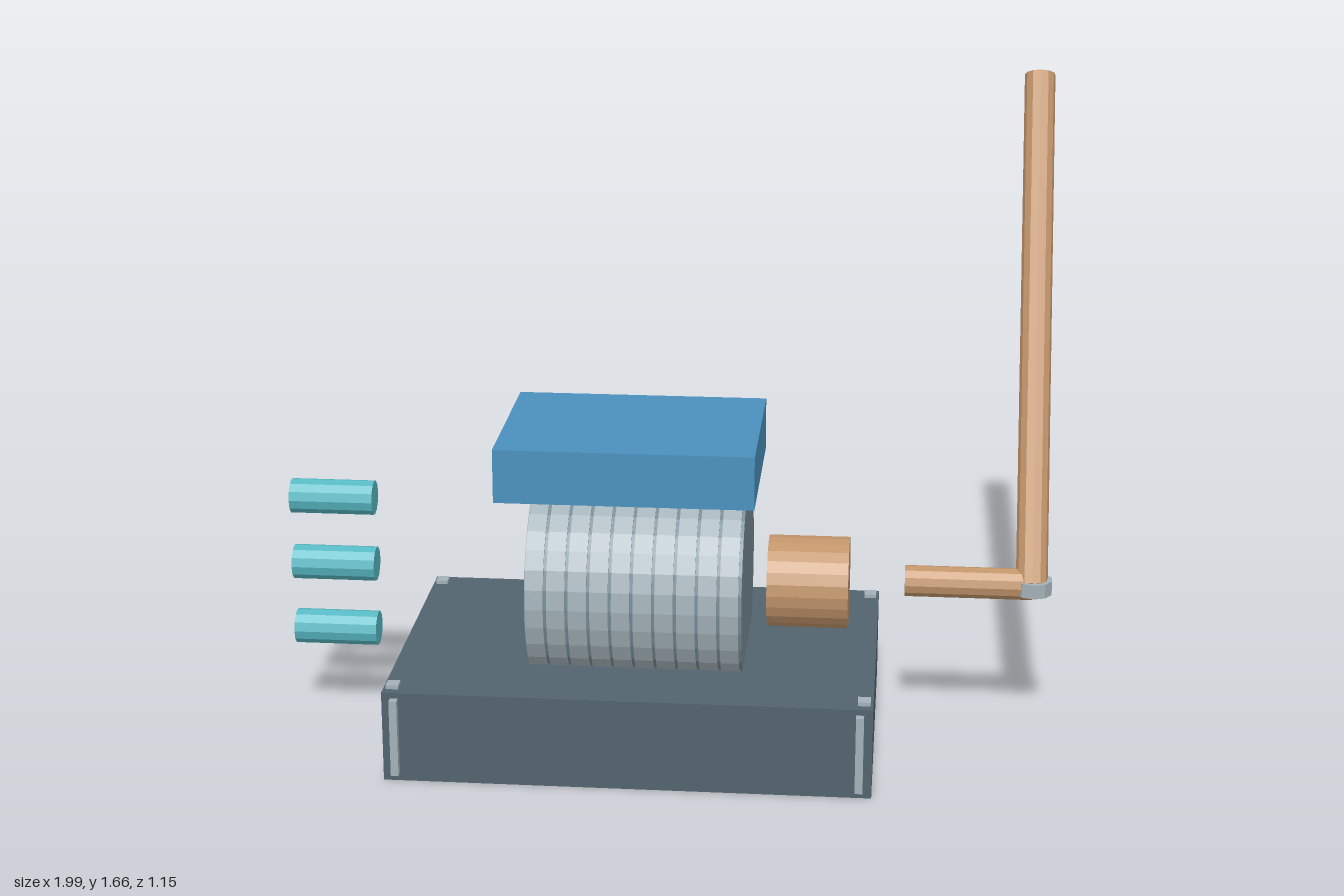
import * as THREE from 'three';

export function createModel() {
  const root = new THREE.Group();
  root.name = 'crankMotor';

  const material = (name, color) => {
    const m = new THREE.MeshStandardMaterial({ color });
    m.name = name;
    return m;
  };
  const slate = material('darkSlate', 0x52636e);
  const steel = material('steelGrey', 0x768a94);
  const silver = material('lightSilver', 0xa3b1b8);
  const copper = material('copper', 0xc2956b);
  const blue = material('blue', 0x4a90bd);
  const teal = material('teal', 0x58b9c3);

  // Faceted normals on every part
  const add = (name, geometry, mat, x, y, z) => {
    const flat = geometry.toNonIndexed();
    flat.computeVertexNormals();
    const mesh = new THREE.Mesh(flat, mat);
    mesh.name = name;
    mesh.position.set(x, y, z);
    root.add(mesh);
    return mesh;
  };
  const box = (name, mat, x0, x1, y0, y1, z0, z1) =>
    add(name, new THREE.BoxGeometry(x1 - x0, y1 - y0, z1 - z0), mat,
      (x0 + x1) / 2, (y0 + y1) / 2, (z0 + z1) / 2);
  const rodX = (name, mat, x0, x1, y, z, radius, sides) =>
    add(name, new THREE.CylinderGeometry(radius, radius, x1 - x0, sides).rotateZ(Math.PI / 2),
      mat, (x0 + x1) / 2, y, z);

  // Base and the box floating over the motor
  box('base', slate, -0.695, 0.545, 0, 0.24, -0.26, 0.56);
  box('controlBox', blue, -0.425, 0.235, 0.7, 0.84, -0.1, 0.4);

  // Corner studs on the base, and vertical strips on its front
  for (const side of [-1, 1]) {
    const x = -0.075 + side * 0.597;
    for (const z of [-0.222, 0.518]) {
      box('cornerStud', silver, x - 0.016, x + 0.016, 0.235, 0.25, z - 0.018, z + 0.018);
    }
    const sx = -0.075 + side * 0.588;
    box('frontStrip', silver, sx - 0.01, sx + 0.01, 0.02, 0.225, 0.555, 0.58);
  }

  // Motor barrel with ten cooling ribs
  rodX('motorBarrel', steel, -0.35, 0.205, 0.418, 0.15, 0.258, 32);
  const pitch = 0.0553;
  for (let i = 0; i < 10; i++) {
    const x0 = -0.348 + i * pitch;
    rodX('coolingRib', silver, x0, x0 + 0.047, 0.418, 0.15, 0.263, 32);
  }

  // Copper drum and crank
  rodX('drum', copper, 0.26, 0.47, 0.42, 0.15, 0.12, 24);
  rodX('crankArm', copper, 0.615, 0.945, 0.43, 0.147, 0.041, 12);
  const start = new THREE.Vector3(0.943, 0.43, 0.155);
  const end = new THREE.Vector3(0.943, 1.642, -0.535);
  const direction = end.clone().sub(start);
  const middle = start.clone().add(end).multiplyScalar(0.5);
  const handle = add('crankHandle',
    new THREE.CylinderGeometry(0.041, 0.041, direction.length(), 12),
    copper, middle.x, middle.y, middle.z);
  handle.quaternion.setFromUnitVectors(new THREE.Vector3(0, 1, 0), direction.normalize());
  add('crankNut', new THREE.CylinderGeometry(0.05, 0.05, 0.038, 10), silver, 0.947, 0.428, 0.15);

  // Three pins in a column
  for (const y of [0.247, 0.43, 0.615]) {
    rodX('pin', teal, -1, -0.78, y, 0.148, 0.046, 12);
  }

  return root;
}
